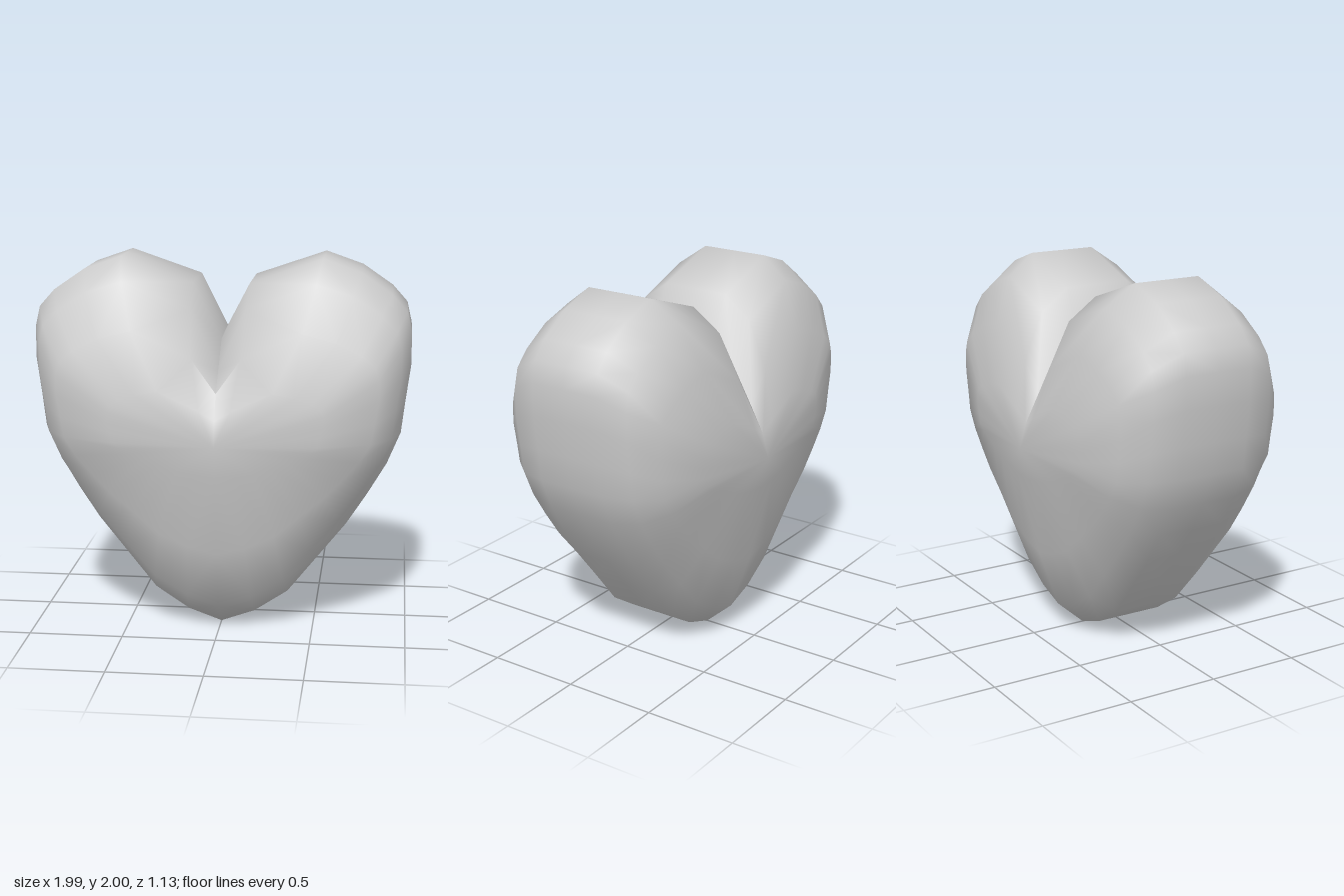
import * as THREE from 'three';
import { toCreasedNormals } from 'three/addons/utils/BufferGeometryUtils.js';

// Right half of the outline, from beside the notch down to beside the tip
const half = [
  [0.15, 1.87], [0.53, 2.0], [0.73, 1.93], [0.89, 1.82], [0.97, 1.73],
  [0.995, 1.62], [0.995, 1.45], [0.97, 1.26], [0.95, 1.09], [0.88, 0.92],
  [0.78, 0.75], [0.67, 0.58], [0.515, 0.385], [0.36, 0.19], [0.18, 0.07],
];
const MID = 1.07;

// Each layer: depth, width scale, upper scale, lower scale, notch height, shoulder drop
const layers = [
  [0.19, 1.0, 1.0, 1.0, 1.57, 0],
  [0.345, 0.95, 0.88, 0.87, 1.43, 0.02],
  [0.46, 0.84, 0.62, 0.565, 1.33, 0.06],
  [0.53, 0.56, 0.3, 0.16, 1.2, 0.06],
];

// Closed heart-shaped section at one depth
function section([z, sx, up, down, notch, drop], side) {
  const right = half.map(([x, y], i) => [
    x * sx,
    MID + (y - MID) * (y > MID ? up : down) - (i === 0 ? drop : 0),
  ]);
  const left = right.map(([x, y]) => [-x, y]).reverse();
  const tip = [0, MID + (0.005 - MID) * down];
  return [[0, notch], ...right, tip, ...left].map(([x, y]) => [x, y, z * side]);
}

function heartGeometry() {
  const rings = [
    ...[...layers].reverse().map((l) => section(l, -1)),
    section([0, 1, 1, 1, 1.59, 0], 1),
    ...layers.map((l) => section(l, 1)),
  ];
  const n = rings[0].length;
  const points = rings.flat();
  const back = points.push([0, MID, -0.567]) - 1;
  const front = points.push([0, MID, 0.567]) - 1;
  const index = [];
  const last = (rings.length - 1) * n;

  for (let j = 0; j < n; j++) {
    const k = (j + 1) % n;
    // Side walls, with diagonals mirrored left to right
    for (let i = 0; i < rings.length - 1; i++) {
      const a = i * n + j, b = i * n + k, c = b + n, d = a + n;
      if (j < n / 2) index.push(a, d, c, a, c, b);
      else index.push(a, d, b, d, c, b);
    }
    // Shallow domes closing the back and front
    index.push(back, j, k);
    index.push(front, last + k, last + j);
  }

  const geometry = new THREE.BufferGeometry();
  geometry.setAttribute('position', new THREE.Float32BufferAttribute(points.flat(), 3));
  geometry.setIndex(index);
  // Keep only the notch sharp
  return toCreasedNormals(geometry, THREE.MathUtils.degToRad(62));
}

export function createModel() {
  const group = new THREE.Group();
  group.name = 'heart';
  const body = new THREE.Mesh(
    heartGeometry(),
    new THREE.MeshStandardMaterial({ color: 0xcccccc }),
  );
  body.name = 'heartBody';
  group.add(body);
  return group;
}
